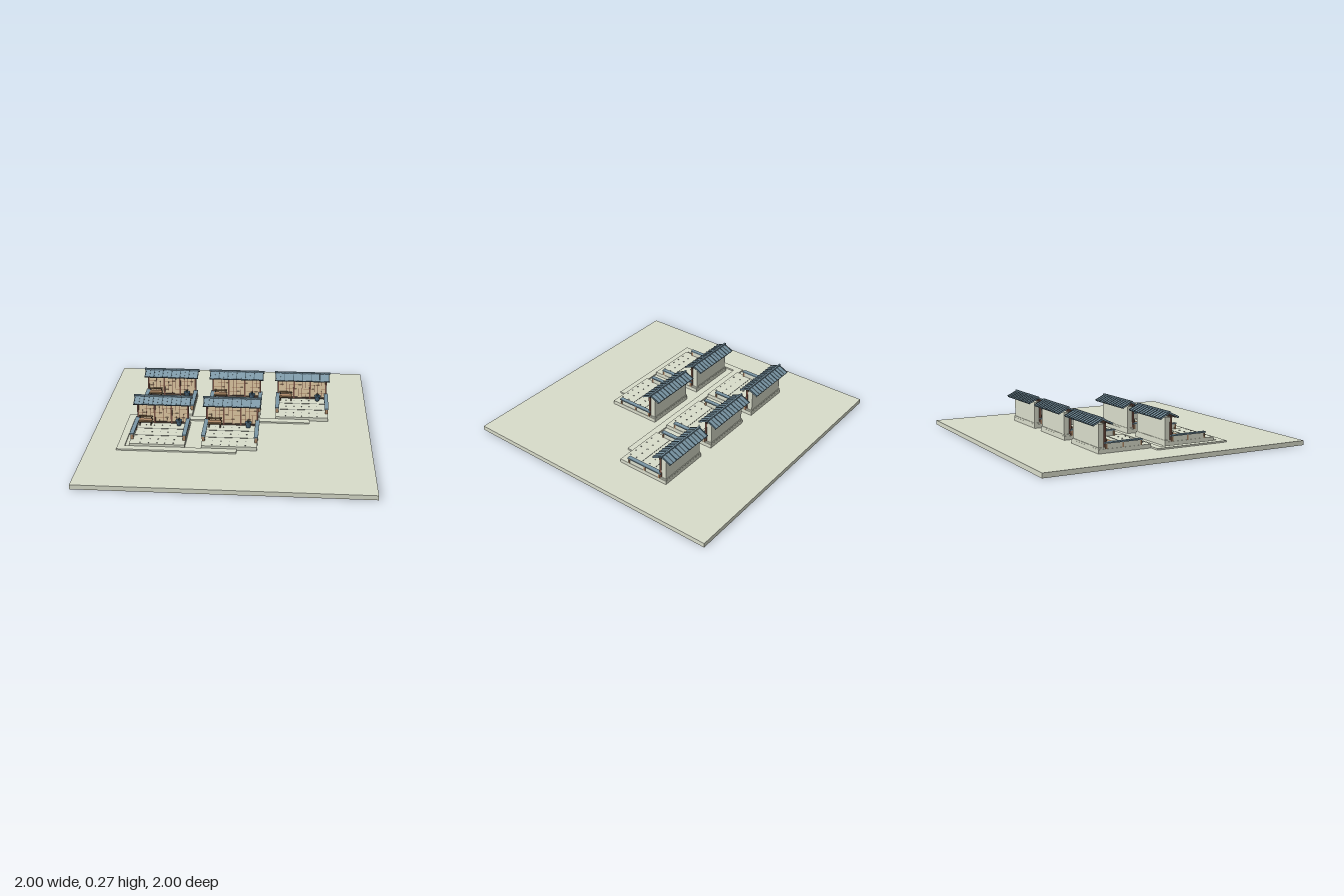
import * as THREE from 'three';

const mat = (name, color) => {
  const m = new THREE.MeshStandardMaterial({ color });
  m.name = name;
  return m;
};

export function createModel() {
  const stone = mat('pale stone', 0xd9ddcb);
  const tile = mat('blue roof tile', 0x7b97a6);
  const darkTile = mat('dark tile rib', 0x4a626e);
  const wood = mat('red brown wood', 0x80584a);
  const tanWood = mat('tan wood', 0xb08a68);
  const darkWood = mat('dark wood', 0x54443a);
  const paper = mat('paper screen', 0xe6cfa8);
  const benchWood = mat('bench wood', 0x7d6443);
  const glaze = mat('pot glaze', 0x4f7088);
  const pebble = mat('grey pebble', 0x7c8178);

  const model = new THREE.Group();
  model.name = 'courtyardTerraces';

  // Box given by its minimum and maximum corners
  const box = (parent, name, m, x0, x1, y0, y1, z0, z1) => {
    const mesh = new THREE.Mesh(new THREE.BoxGeometry(x1 - x0, y1 - y0, z1 - z0), m);
    mesh.position.set((x0 + x1) / 2, (y0 + y1) / 2, (z0 + z1) / 2);
    mesh.name = name;
    parent.add(mesh);
    return mesh;
  };

  // Ground and the winding path
  box(model, 'ground', stone, -1, 1, 0, 0.033, -1, 1);
  box(model, 'middlePath', stone, -0.785, 0.565, 0.033, 0.044, -0.065, -0.01);
  box(model, 'sidePath', stone, -0.785, -0.735, 0.033, 0.044, -0.01, 0.445);
  box(model, 'frontPath', stone, -0.785, 0.055, 0.033, 0.044, 0.445, 0.498);

  function addRoof(unit) {
    const roof = new THREE.Group();
    roof.name = 'roof';
    roof.position.set(0, 0.264, 0.072);
    for (const side of [-1, 1]) {
      const slope = new THREE.Group();
      slope.name = side > 0 ? 'frontSlope' : 'backSlope';
      slope.rotation.x = side * 0.44;
      const z = (a, b) => (side > 0 ? [a, b] : [-b, -a]);
      box(slope, 'tiles', tile, -0.208, 0.208, -0.008, 0, ...z(0, 0.081));
      for (let i = 0; i < 13; i++) {
        const x = -0.204 + i * 0.034;
        box(slope, 'tileRib', i % 2 ? tile : darkTile, x - 0.003, x + 0.003, -0.004, 0.004, ...z(0, 0.083));
      }
      box(slope, 'eaveEdge', darkTile, -0.21, 0.21, -0.01, -0.002, ...z(0.079, 0.082));
      for (let i = 0; i < 7; i++) {
        const x = -0.18 + i * 0.06;
        box(slope, 'rafter', wood, x - 0.004, x + 0.004, -0.014, -0.008, ...z(0.01, 0.075));
      }
      roof.add(slope);
    }
    box(roof, 'ridge', tile, -0.214, 0.214, -0.006, 0.008, -0.006, 0.006);
    unit.add(roof);
  }

  function addScreenWall(unit) {
    // Plaster wall behind, timber screens in front
    box(unit, 'rearWall', stone, -0.185, 0.185, 0.06, 0.228, 0.05, 0.09);
    box(unit, 'wallFooting', stone, -0.192, 0.192, 0.06, 0.072, 0.046, 0.093);
    box(unit, 'paperScreen', paper, -0.18, 0.18, 0.068, 0.222, 0.089, 0.095);
    box(unit, 'sill', darkWood, -0.19, 0.19, 0.061, 0.073, 0.089, 0.102);
    box(unit, 'lintel', wood, -0.19, 0.19, 0.21, 0.22, 0.089, 0.102);
    box(unit, 'topBeam', darkWood, -0.195, 0.195, 0.226, 0.238, 0.086, 0.102);
    for (const x of [-0.184, -0.062, 0.062, 0.184])
      box(unit, 'post', wood, x - 0.006, x + 0.006, 0.06, 0.245, 0.088, 0.104);
    for (let i = 0; i < 3; i++) {
      const c = (i - 1) * 0.123;
      for (let j = -1; j <= 1; j++) {
        const w = j === 0 ? 0.002 : 0.001;
        box(unit, 'lattice', wood, c + j * 0.028 - w, c + j * 0.028 + w, 0.07, 0.212, 0.093, 0.097);
      }
      for (const y of [0.105, 0.14, 0.175])
        box(unit, 'latticeRail', tanWood, c - 0.058, c + 0.058, y - 0.001, y + 0.001, 0.093, 0.0965);
    }
  }

  function addSideWall(unit, side) {
    const wall = new THREE.Group();
    wall.name = side > 0 ? 'leftGardenWall' : 'rightGardenWall';
    wall.position.x = side * 0.186;
    box(wall, 'panel', stone, -0.007, 0.007, 0.06, 0.098, 0.1, 0.37);
    for (const z of [0.105, 0.23, 0.367])
      box(wall, 'wallPost', tanWood, -0.01, 0.01, 0.06, 0.099, z - 0.006, z + 0.006);
    box(wall, 'coping', tile, -0.015, 0.015, 0.097, 0.106, 0.09, 0.376);
    unit.add(wall);
  }

  function addBench(unit) {
    const bench = new THREE.Group();
    bench.name = 'bench';
    box(bench, 'seat', tanWood, -0.175, -0.075, 0.103, 0.106, 0.116, 0.158);
    box(bench, 'apron', benchWood, -0.175, -0.075, 0.092, 0.103, 0.118, 0.157);
    box(bench, 'backRail', benchWood, -0.175, -0.075, 0.114, 0.125, 0.112, 0.117);
    for (const x of [-0.166, -0.084]) {
      box(bench, 'backLeg', darkWood, x - 0.004, x + 0.004, 0.06, 0.12, 0.117, 0.123);
      box(bench, 'frontLeg', darkWood, x - 0.004, x + 0.004, 0.06, 0.092, 0.146, 0.152);
    }
    unit.add(bench);
  }

  const potProfile = [[0, 0], [0.015, 0], [0.018, 0.016], [0.021, 0.032], [0.024, 0.034], [0.024, 0.041], [0.016, 0.041], [0, 0.036]]
    .map(([x, y]) => new THREE.Vector2(x, y));
  const potGeometry = new THREE.LatheGeometry(potProfile, 14);
  const leafGeometry = new THREE.ConeGeometry(0.005, 0.034, 5);

  function addPot(unit) {
    const pot = new THREE.Group();
    pot.name = 'pottedPlant';
    pot.position.set(0.12, 0.061, 0.13);
    const bowl = new THREE.Mesh(potGeometry, glaze);
    bowl.name = 'pot';
    pot.add(bowl);
    for (let i = 0; i < 5; i++) {
      const blade = new THREE.Mesh(leafGeometry, darkTile);
      blade.name = 'leaf';
      const a = (i / 5) * Math.PI * 2;
      blade.position.set(Math.cos(a) * 0.006, 0.05, Math.sin(a) * 0.006);
      blade.rotation.set(Math.sin(a) * 0.25, 0, -Math.cos(a) * 0.25);
      pot.add(blade);
    }
    unit.add(pot);
  }

  function addUnit(x, z) {
    const unit = new THREE.Group();
    unit.name = 'courtyard';
    unit.position.set(x, 0, z);
    box(unit, 'plinth', stone, -0.196, 0.196, 0.033, 0.061, 0.045, 0.443);
    // Paving joints and pebbles
    for (const jz of [0.196, 0.308])
      box(unit, 'pavingJoint', pebble, -0.176, 0.176, 0.06, 0.063, jz - 0.002, jz + 0.002);
    for (const pz of [0.14, 0.25, 0.365, 0.422])
      for (const px of [-0.12, -0.06, 0, 0.055, 0.115])
        box(unit, 'pebble', pebble, px - 0.004, px + 0.004, 0.06, 0.064, pz - 0.004, pz + 0.004);
    addScreenWall(unit);
    addSideWall(unit, -1);
    addSideWall(unit, 1);
    addBench(unit);
    addPot(unit);
    addRoof(unit);
    model.add(unit);
  }

  // Three courtyards behind, two in front
  const step = 0.508;
  for (const x of [-step, 0, step]) addUnit(x, -step);
  for (const x of [-step, 0]) addUnit(x, 0);
  return model;
}
